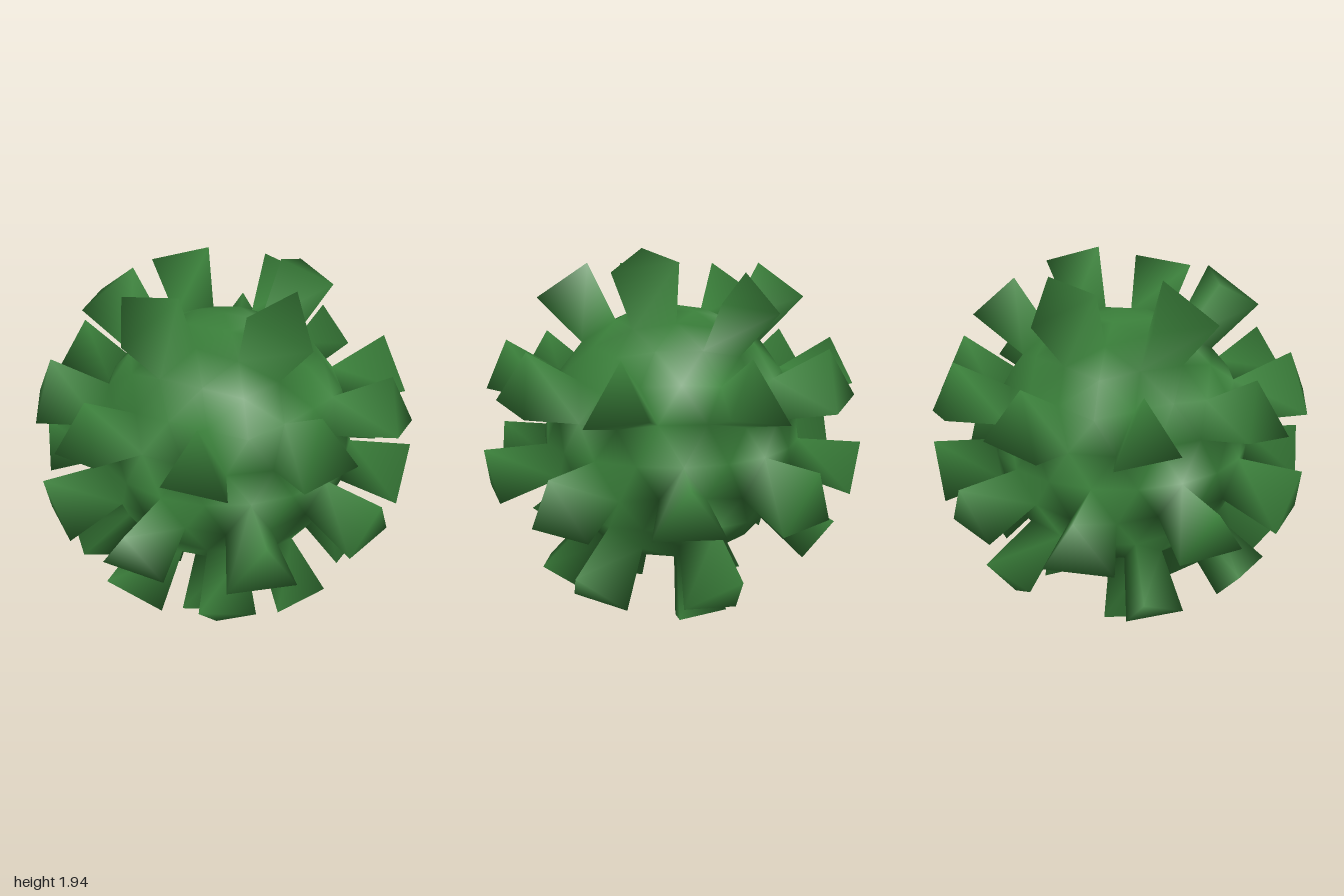
import * as THREE from 'three';

const BODY_R = 0.69, SPIKE_R = 1.009, CENTRE_Y = 0.971;
const TURN = 28.3; // azimuth of the ball's first corner, in degrees

// Direction from azimuth (degrees, +x towards +z) and height
function dir(az, y) {
  const a = THREE.MathUtils.degToRad(az), r = Math.sqrt(1 - y * y);
  return new THREE.Vector3(r * Math.cos(a), y, r * Math.sin(a));
}

// Triangulated unit ball with a vertex at each pole, split in four `levels` times
function buildBall(levels) {
  const points = [dir(0, 1), dir(0, -1)];
  const h = 1 / Math.sqrt(5);
  for (let k = 0; k < 5; k++) points.push(dir(TURN + 72 * k, h));
  for (let k = 0; k < 5; k++) points.push(dir(TURN + 36 + 72 * k, -h));
  let faces = [];
  for (let k = 0; k < 5; k++) {
    const n = (k + 1) % 5, u = 2 + k, un = 2 + n, l = 7 + k, ln = 7 + n;
    faces.push([0, un, u], [u, un, l], [l, un, ln], [1, l, ln]);
  }
  for (let i = 0; i < levels; i++) {
    const cache = new Map();
    const mid = (a, b) => {
      const key = Math.min(a, b) + '_' + Math.max(a, b);
      if (!cache.has(key)) {
        cache.set(key, points.length);
        points.push(points[a].clone().add(points[b]).normalize());
      }
      return cache.get(key);
    };
    faces = faces.flatMap(([a, b, c]) => {
      const ab = mid(a, b), bc = mid(b, c), ca = mid(c, a);
      return [[a, ab, ca], [ab, b, bc], [ca, bc, c], [ab, bc, ca]];
    });
  }
  return { points, faces };
}

// Where the spikes point
function spikeDirections() {
  const list = [];
  // Two regular rings round the middle
  for (let k = 0; k < 10; k++) {
    list.push(dir(TURN + 36 * k, -0.18), dir(TURN + 18 + 36 * k, 0.355));
  }
  // Scattered spikes on the top and the underside
  const scattered = [
    [-0.06, 0.84, -0.54], [0.53, 0.76, -0.36], [0.386, 0.92, 0.107],
    [0.077, 0.84, 0.52], [-0.49, 0.82, 0.23], [-0.53, 0.78, -0.31],
    [0.19, -0.76, 0.61], [0.65, -0.67, 0.35], [-0.28, -0.59, 0.75],
    [0.70, -0.64, -0.28], [0.06, -0.54, -0.83], [-0.565, -0.64, -0.51],
    [-0.795, -0.59, -0.035], [-0.66, -0.64, 0.38],
    [-0.22, -0.91, 0.33], [-0.30, -0.91, -0.26], [0.375, -0.91, -0.14],
  ];
  for (const p of scattered) list.push(new THREE.Vector3(...p).normalize());
  return list;
}

export function createModel() {
  const green = new THREE.MeshStandardMaterial({ color: 0x3a7f3a });
  green.name = 'leaf green';

  const { points, faces } = buildBall(2);
  const centres = faces.map((f) => f
    .reduce((sum, i) => sum.add(points[i]), new THREE.Vector3()).normalize());

  // Each spike grows from the face nearest its direction
  const chosen = new Set(spikeDirections().map((d) => {
    let best = 0;
    centres.forEach((c, i) => { if (c.dot(d) > centres[best].dot(d)) best = i; });
    return best;
  }));

  const vertices = points.map((p) => p.clone().multiplyScalar(BODY_R));
  const bodyIndex = [], spikeIndex = [];
  faces.forEach((f, i) => {
    if (!chosen.has(i)) {
      bodyIndex.push(...f);
      return;
    }
    // Flared three-sided spike: cap and three walls
    const cap = f.map((v) => vertices.push(points[v].clone().multiplyScalar(SPIKE_R)) - 1);
    spikeIndex.push(...cap);
    for (let e = 0; e < 3; e++) {
      const n = (e + 1) % 3;
      spikeIndex.push(f[e], f[n], cap[n], f[e], cap[n], cap[e]);
    }
  });

  // Normals are smoothed over body and spikes together
  const whole = new THREE.BufferGeometry().setFromPoints(vertices);
  whole.setIndex([...bodyIndex, ...spikeIndex]);
  whole.computeVertexNormals();

  const group = new THREE.Group();
  group.name = 'spikyBall';
  const addPart = (name, index) => {
    const geometry = new THREE.BufferGeometry();
    geometry.setAttribute('position', whole.getAttribute('position').clone());
    geometry.setAttribute('normal', whole.getAttribute('normal').clone());
    geometry.setIndex(index);
    const mesh = new THREE.Mesh(geometry, green);
    mesh.name = name;
    mesh.position.y = CENTRE_Y;
    group.add(mesh);
  };
  addPart('body', bodyIndex);
  addPart('spikes', spikeIndex);
  return group;
}
